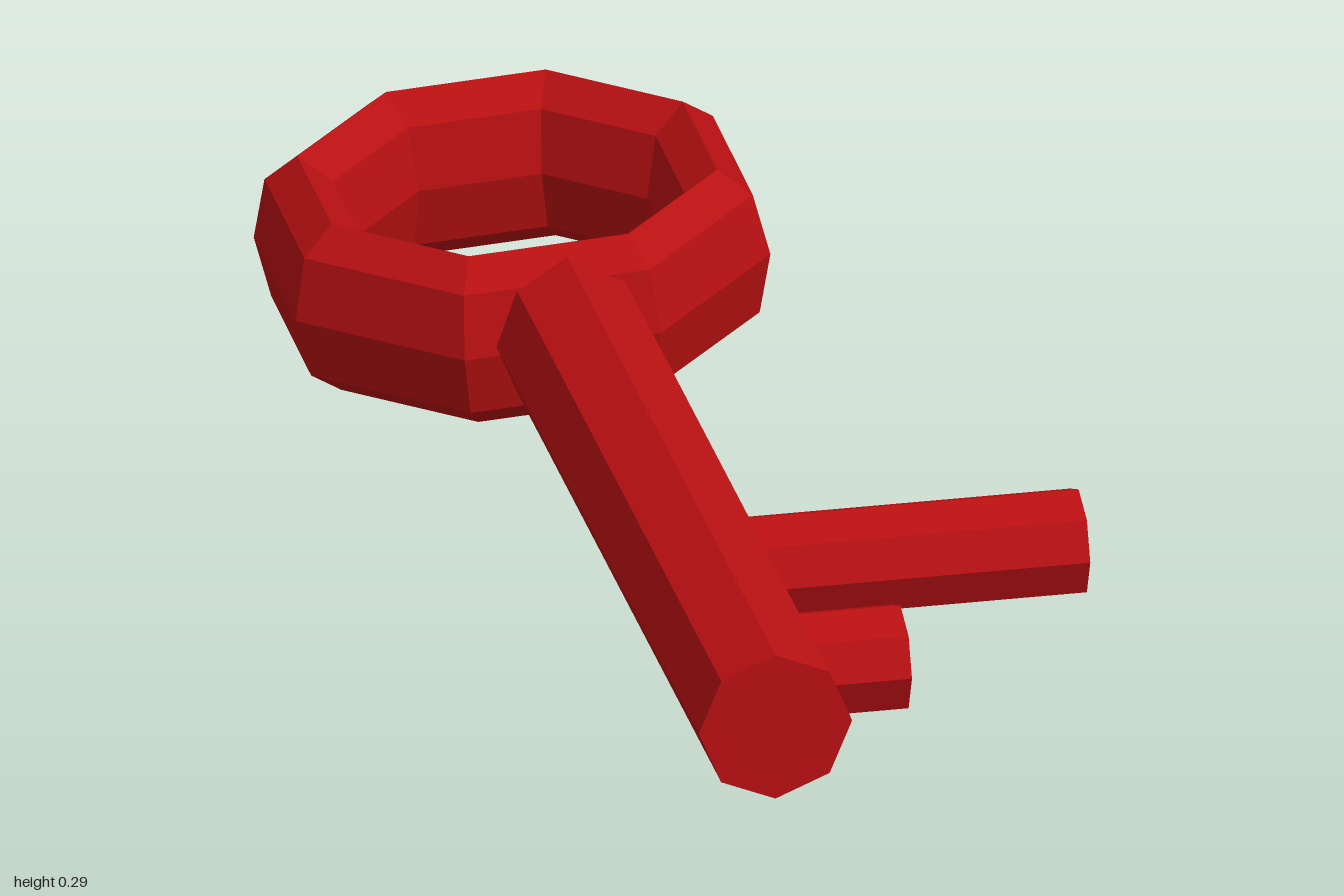
import * as THREE from 'three';

export function createModel() {
  const key = new THREE.Group();
  key.name = 'key';
  const red = new THREE.MeshStandardMaterial({ color: 0xb81012, flatShading: true });
  red.name = 'red';

  const axisX = -0.095, axisY = 0.145;

  const add = (name, geometry, x, y, z) => {
    const mesh = new THREE.Mesh(geometry, red);
    mesh.name = name;
    mesh.position.set(x, y, z);
    key.add(mesh);
    return mesh;
  };

  // Eight-sided shaft, its back end buried in the ring
  const back = -0.4, front = 1;
  const shaft = new THREE.CylinderGeometry(0.108, 0.108, front - back, 8).rotateX(Math.PI / 2);
  add('shaft', shaft, axisX, axisY, (front + back) / 2);

  // Two teeth reaching out to the left from the shaft's axis
  for (const [name, end, z] of [['longTooth', 0.445, 0.472], ['shortTooth', 0.123, 0.803]]) {
    const tooth = new THREE.CylinderGeometry(0.077, 0.077, end - axisX, 8).rotateZ(Math.PI / 2);
    add(name, tooth, (end + axisX) / 2, axisY, z);
  }

  // Octagonal ring handle, taller than its band is thick, slightly tilted
  const ring = new THREE.TorusGeometry(0.2944, 0.068, 8, 8)
    .rotateZ(Math.PI / 8)
    .scale(1, 1, 0.127 / 0.068)
    .rotateX(Math.PI / 2);
  add('ringHandle', ring, -0.11, 0.144, -0.665).rotation.set(0.018, 0, 0.058);

  return key;
}
